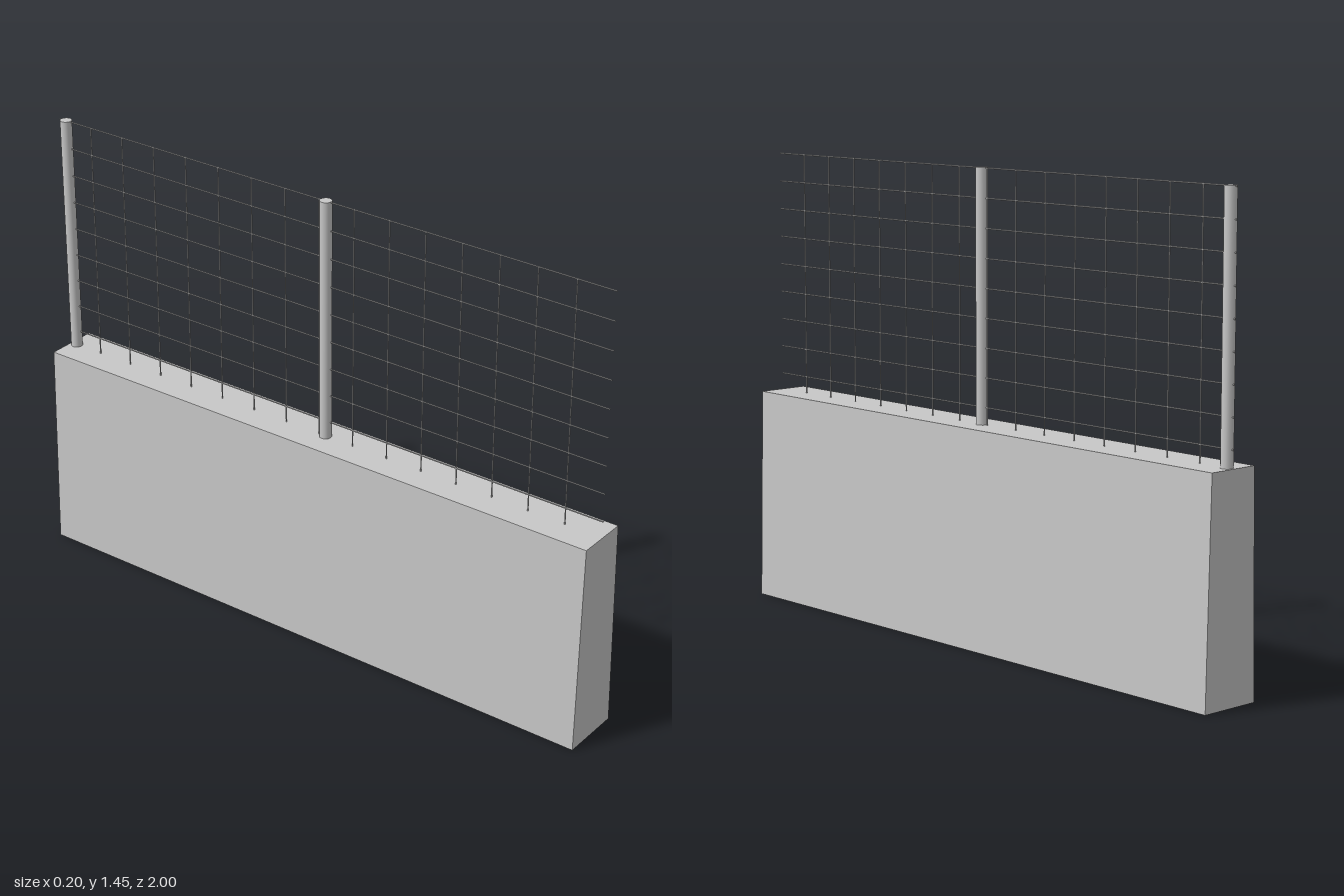
import * as THREE from 'three';

export function createModel() {
  const group = new THREE.Group();
  const grey = new THREE.MeshStandardMaterial({ color: 0xc8c8c8 });
  grey.name = 'light grey';

  const wallTop = 0.675, fenceTop = 1.45;

  const add = (name, geometry, x, y, z) => {
    const mesh = new THREE.Mesh(geometry, grey);
    mesh.name = name;
    mesh.position.set(x, y, z);
    group.add(mesh);
  };

  // Tapered concrete wall
  const profile = new THREE.Shape([
    new THREE.Vector2(-0.1, 0),
    new THREE.Vector2(0.1, 0),
    new THREE.Vector2(0.085, wallTop),
    new THREE.Vector2(-0.085, wallTop),
  ]);
  add('wall', new THREE.ExtrudeGeometry(profile, { depth: 2, bevelEnabled: false }), 0, 0, -1);

  // Fence posts: one mid-wall, one at the rear end
  const postHeight = fenceTop - wallTop;
  const postGeometry = new THREE.CylinderGeometry(0.019, 0.019, postHeight, 12);
  for (const z of [0.024, -0.976]) add('post', postGeometry, 0, wallTop + postHeight / 2, z);

  // Horizontal wires along the whole wall
  const wire = 0.0022;
  const longWire = new THREE.CylinderGeometry(wire, wire, 2, 6).rotateX(Math.PI / 2);
  for (let i = 0; i < 9; i++) add('horizontalWire', longWire, 0, fenceTop - wire - i * 0.09, 0);

  // Vertical wires rising from the wall top
  const uprightWire = new THREE.CylinderGeometry(wire, wire, postHeight, 6);
  for (let i = -7; i <= 7; i++) add('verticalWire', uprightWire, 0, wallTop + postHeight / 2, i * 0.125);

  return group;
}
